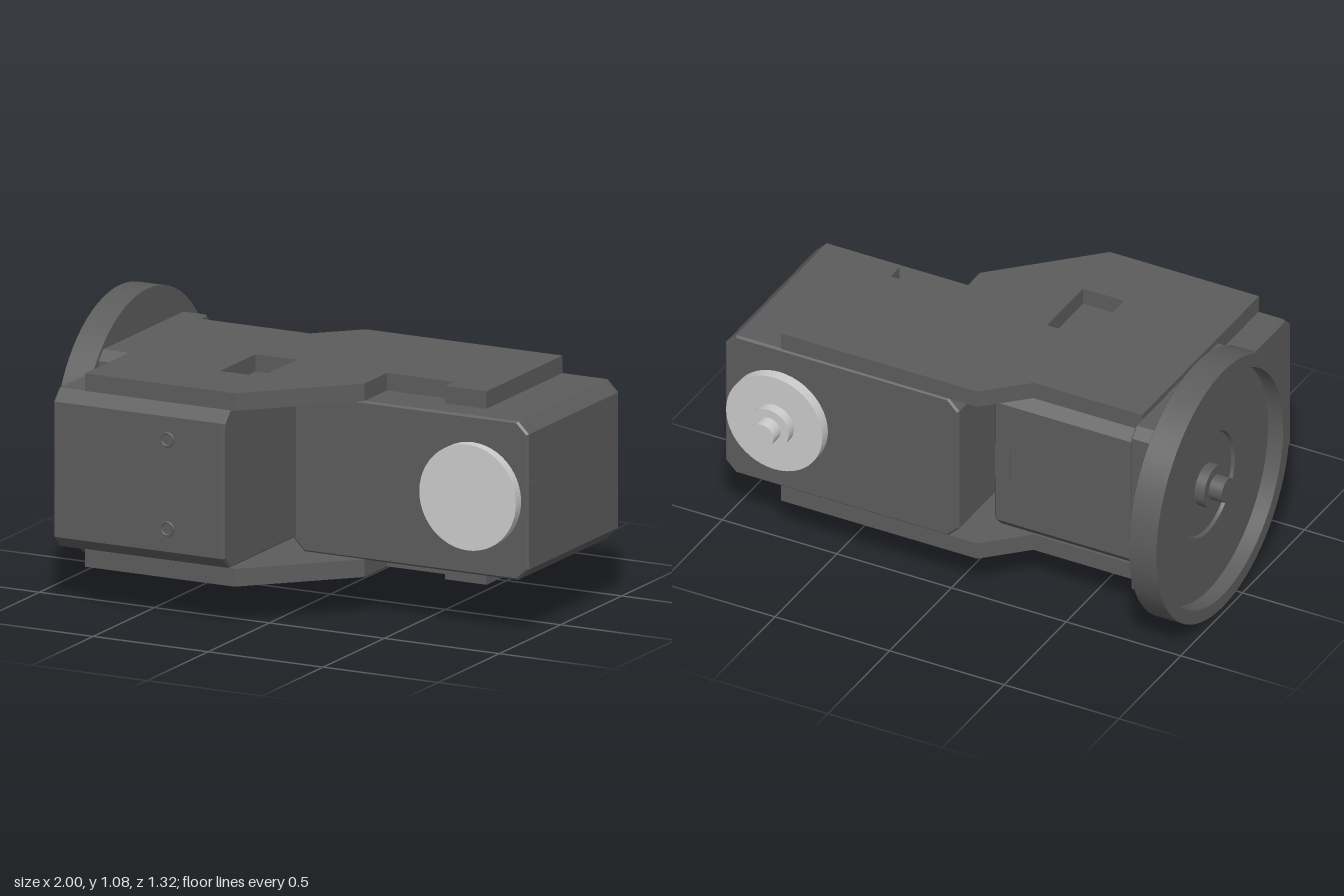
import * as THREE from 'three';

const dark = new THREE.MeshStandardMaterial({ color: 0x5c5c5c, flatShading: true });
const darkRound = new THREE.MeshStandardMaterial({ color: 0x5c5c5c });
const light = new THREE.MeshStandardMaterial({ color: 0xcccccc });

function add(parent, name, geometry, material, x = 0, y = 0, z = 0) {
  const mesh = new THREE.Mesh(geometry, material);
  mesh.name = name;
  mesh.position.set(x, y, z);
  parent.add(mesh);
  return mesh;
}

// Rectangle with cut corners, centred on the origin
function cutRect(w, h, c) {
  const a = w / 2, b = h / 2;
  return new THREE.Shape([
    [-a + c, -b], [a - c, -b], [a, -b + c], [a, b - c],
    [a - c, b], [-a + c, b], [-a, b - c], [-a, -b + c],
  ].map(p => new THREE.Vector2(...p)));
}

// Cut-corner block, extruded along z with a fine bevel
function cutBlock(w, h, d, c, bevel = 0.008) {
  const g = new THREE.ExtrudeGeometry(cutRect(w - 2 * bevel, h - 2 * bevel, c), {
    depth: d - 2 * bevel, bevelThickness: bevel, bevelSize: bevel, bevelSegments: 1,
  });
  return g.translate(0, 0, -d / 2 + bevel);
}

// Disc between two depths along z
function disc(parent, name, r, z0, z1, material, x) {
  const g = new THREE.CylinderGeometry(r, r, z1 - z0, 48).rotateX(Math.PI / 2);
  return add(parent, name, g, material, x, 0, (z0 + z1) / 2);
}

// Servo: length on x, output axle towards -z
function servo(name, hornMaterial, idlerDisc) {
  const g = new THREE.Group();
  g.name = name;
  add(g, 'servoCase', cutBlock(1.02, 0.63, 0.745, 0.042), dark);
  disc(g, 'outputHorn', 0.21, -0.418, -0.37, hornMaterial, 0.27);
  disc(g, 'hornBoss', 0.086, -0.46, -0.418, hornMaterial, 0.27);
  disc(g, 'axle', 0.05, -0.517, -0.46, hornMaterial, 0.27);
  if (idlerDisc) disc(g, 'idlerDisc', 0.21, 0.37, 0.415, hornMaterial, 0.27);
  // Cable port on the horn end
  add(g, 'cablePort', new THREE.BoxGeometry(0.01, 0.155, 0.068), dark, 0.507, 0, 0.334);
  // Screw sockets on the far end
  for (const s of [-1, 1]) {
    const ring = new THREE.TorusGeometry(0.026, 0.005, 6, 20).rotateY(Math.PI / 2);
    add(g, 'screwSocket', ring, darkRound, -0.51, s * 0.177, 0.125);
  }
  return g;
}

// Side plate outline as [x, z]
const plateOutline = [
  [-0.74, 0.615], [-0.09, 0.615], [0.28, 0.25], [0.28, 0.065], [0.57, 0.065], [0.57, 0.135],
  [0.75, 0.135], [0.75, -0.487], [-0.105, -0.487], [-0.265, -0.33], [-0.74, -0.33],
];
const windowOutline = [[-0.3, 0.05], [-0.3, 0.34], [-0.12, 0.34], [-0.12, 0.05]];

function plateGeometry() {
  const toV = ([x, z]) => new THREE.Vector2(x, -z);
  const shape = new THREE.Shape(plateOutline.map(toV));
  shape.holes.push(new THREE.Path(windowOutline.map(toV)));
  return new THREE.ExtrudeGeometry(shape, { depth: 0.07, bevelEnabled: false }).rotateX(-Math.PI / 2);
}

// Wheel with a recessed outer face, axis on y before turning; the open side is +y
function wheelGeometry() {
  const profile = [
    [0.205, 0], [0.54, 0], [0.54, 0.12], [0.485, 0.12], [0.485, 0.055], [0.215, 0.055], [0.205, 0],
  ];
  // Each straight run is doubled at its ends so the edges stay sharp
  const pts = [];
  profile.forEach(([r, y], i) => {
    pts.push(new THREE.Vector2(r, y));
    const n = profile[i + 1];
    if (n) {
      const a = new THREE.Vector2(r, y), b = new THREE.Vector2(...n);
      pts.push(a.clone().lerp(b, 0.01), a.clone().lerp(b, 0.99));
    }
  });
  return new THREE.LatheGeometry(pts, 72).rotateZ(Math.PI / 2);
}

export function createModel() {
  const model = new THREE.Group();
  model.name = 'servoJoint';
  const midY = 0.543;

  // Two servos at right angles
  const tilt = servo('tiltServo', light, true);
  tilt.position.set(0.483, midY, -0.12);
  const pan = servo('panServo', darkRound, false);
  pan.rotation.y = Math.PI / 2;
  pan.position.set(-0.485, midY, 0.147);
  model.add(tilt, pan);

  // Plates joining them above and below
  for (const [name, y] of [['topPlate', 0.857], ['bottomPlate', 0.16]]) {
    add(model, name, plateGeometry(), dark, 0, y, 0);
  }

  // Mounting collar round the pan servo and the wheel over its horn
  const collar = cutBlock(0.73, 0.765, 0.11, 0.035, 0.006).rotateY(Math.PI / 2);
  add(model, 'mountingCollar', collar, dark, -0.805, midY, -0.075);
  add(model, 'wheel', wheelGeometry(), darkRound, -0.86, 0.541, -0.12);
  return model;
}
